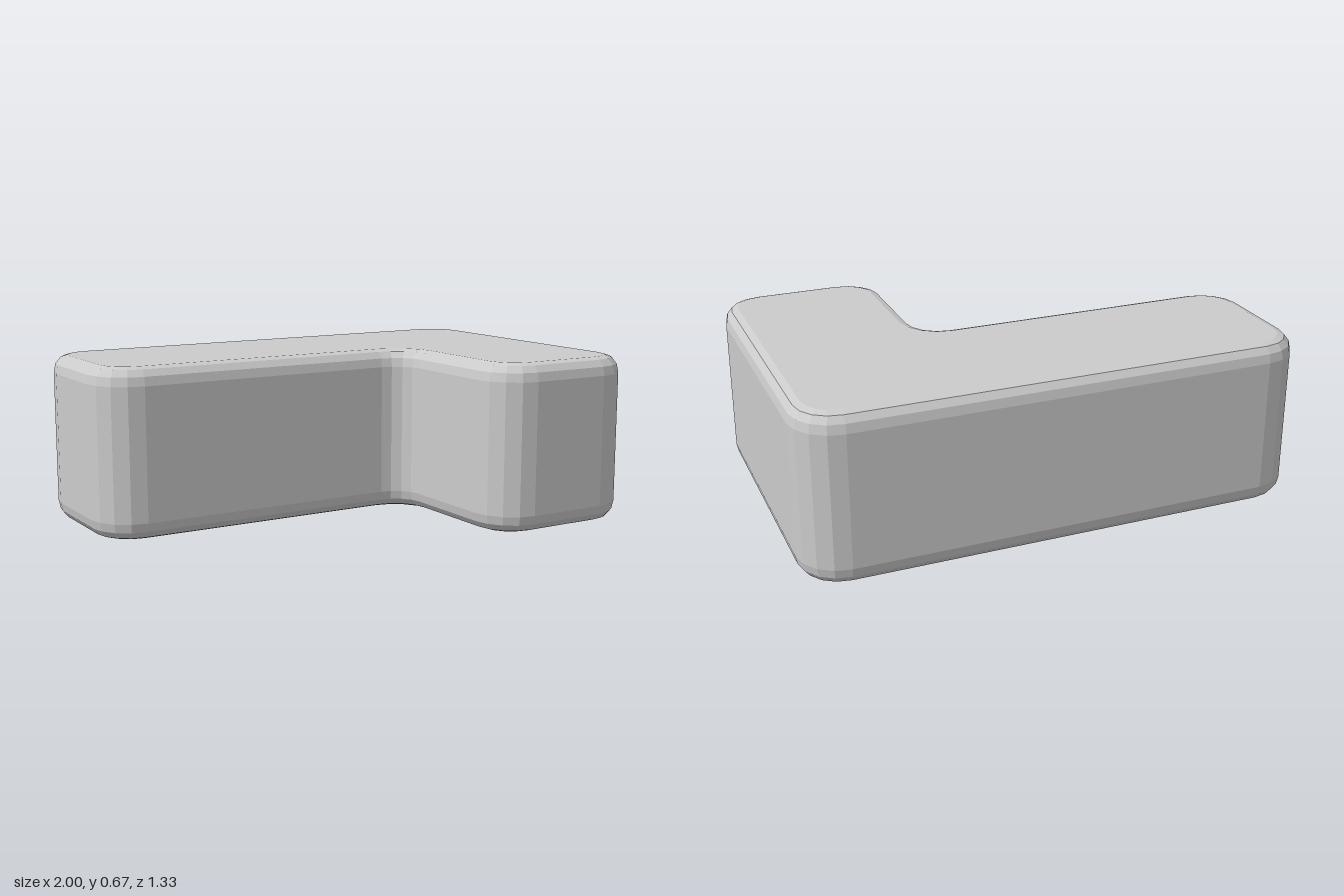
import * as THREE from 'three';

const HEIGHT = 2 / 3;
const RADIUS = 0.167; // rounding of outer corners
const INNER = 0.112; // rounding of the inside corner
const BEVEL_IN = 0.055;
const BEVEL_UP = 0.07;

// L-shaped footprint with rounded corners, drawn counter-clockwise (shape y = -z)
function footprint() {
  const shape = new THREE.Shape();
  const t = 2 / 3;
  const quarter = Math.PI / 2;
  const corner = (x, y, k) =>
    shape.absarc(x, y, RADIUS, k * quarter, (k + 1) * quarter, false);

  corner(-1 + RADIUS, RADIUS, 2);
  shape.absarc(t / 2 - INNER, -INNER, INNER, quarter, 0, true);
  corner(t / 2 + RADIUS, -t + RADIUS, 2);
  corner(1 - RADIUS, -t + RADIUS, 3);
  corner(1 - RADIUS, t - RADIUS, 0);
  corner(-1 + RADIUS, t - RADIUS, 1);
  shape.closePath();
  return shape;
}

export function createModel() {
  const group = new THREE.Group();
  group.name = 'cornerBlock';

  // Solid block with bevelled top and bottom rims
  const geometry = new THREE.ExtrudeGeometry(footprint(), {
    depth: HEIGHT - 2 * BEVEL_UP,
    curveSegments: 2,
    bevelEnabled: true,
    bevelThickness: BEVEL_UP,
    bevelSize: BEVEL_IN,
    bevelOffset: -BEVEL_IN,
    bevelSegments: 3,
  });
  geometry.rotateX(-Math.PI / 2);
  geometry.translate(0, BEVEL_UP, 0);

  const block = new THREE.Mesh(
    geometry,
    new THREE.MeshStandardMaterial({ color: 0xcccccc, flatShading: true })
  );
  block.name = 'block';
  group.add(block);
  return group;
}
